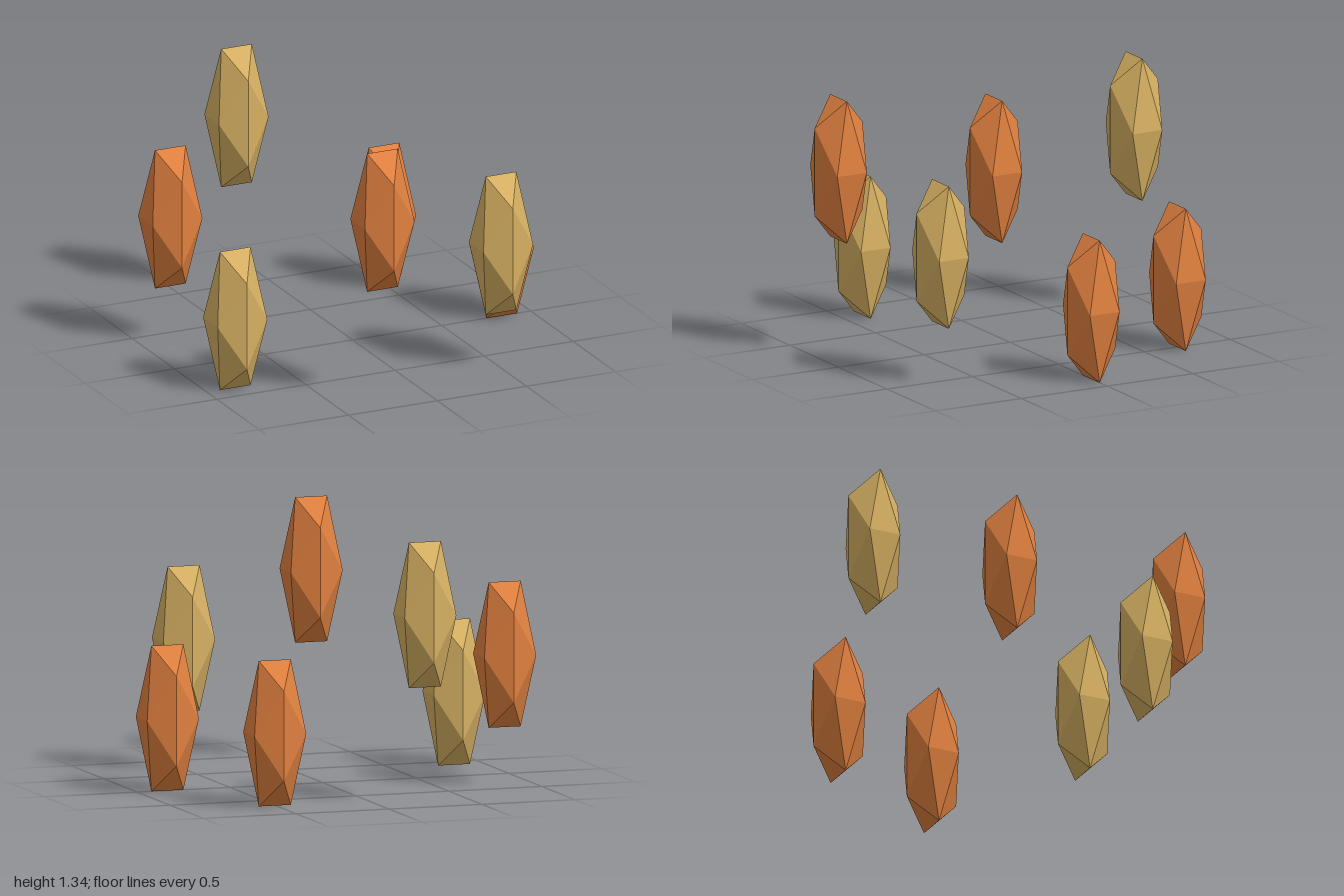
import * as THREE from 'three';

export function createModel() {
  const group = new THREE.Group();
  group.name = 'crystalRing';

  const count = 7, ringRadius = 0.883, ringOffsetX = -0.046;
  const halfHeight = 0.3725, levelStep = 0.2965;

  // Tall crystal: an icosahedron stretched upwards
  const crystal = new THREE.IcosahedronGeometry(0.1635, 0);
  crystal.scale(1, 2.68, 1);
  crystal.computeVertexNormals();

  const materials = [0xe0803f, 0xd6b062].map(
    (color) => new THREE.MeshStandardMaterial({ color, flatShading: true })
  );

  // Crystals around the ring: alternating colours, three repeating heights
  for (let i = 0; i < count; i++) {
    const a = (i / count) * Math.PI * 2;
    const mesh = new THREE.Mesh(crystal, materials[i % 2]);
    mesh.name = `${i % 2 ? 'gold' : 'orange'}Crystal${i + 1}`;
    mesh.position.set(
      ringOffsetX + Math.cos(a) * ringRadius,
      halfHeight + (i % 3) * levelStep,
      Math.sin(a) * ringRadius
    );
    group.add(mesh);
  }
  return group;
}
